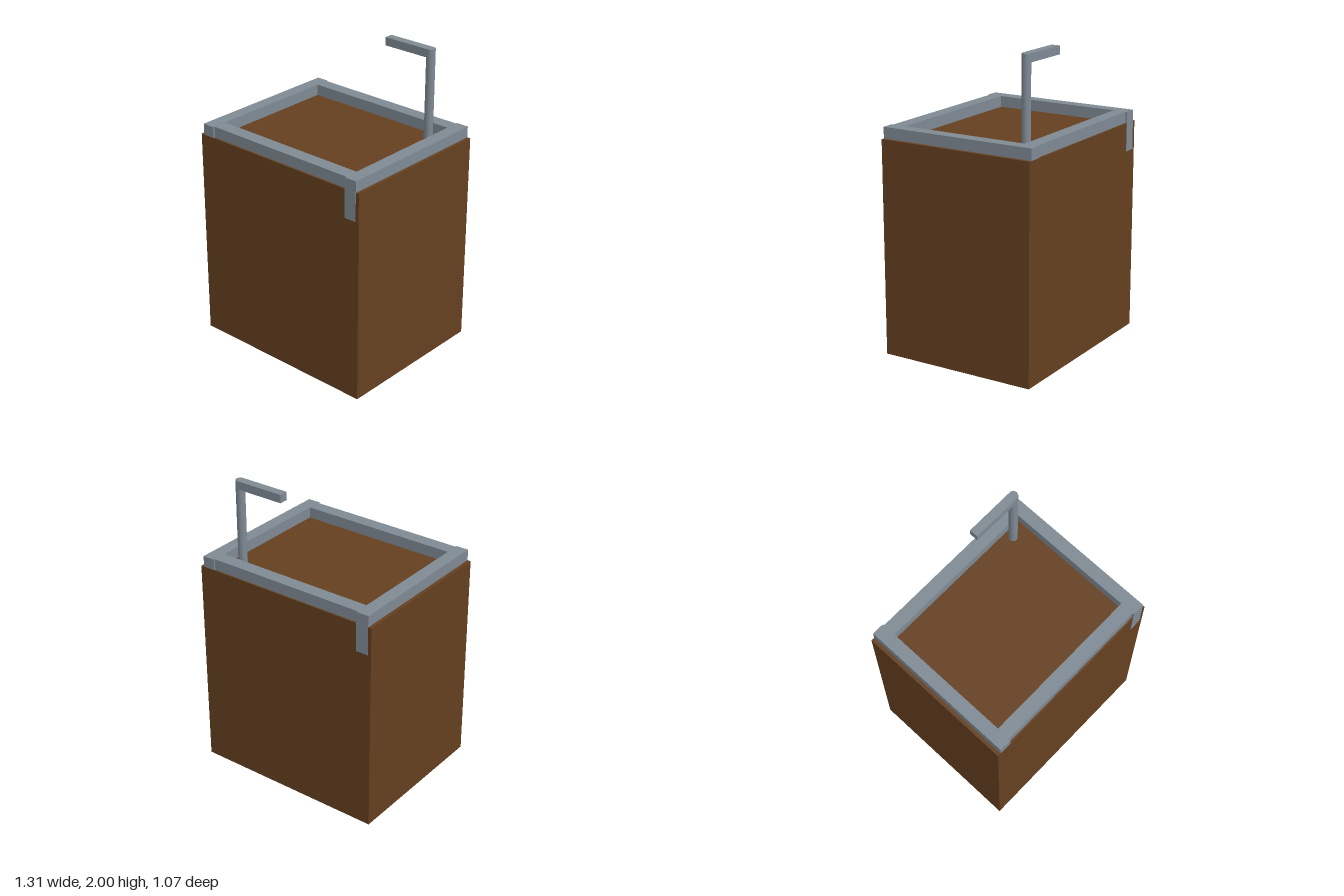
import * as THREE from 'three';

export function createModel() {
  const model = new THREE.Group();
  model.name = 'sinkCabinet';

  const wood = new THREE.MeshStandardMaterial({ color: 0x654020 });
  wood.name = 'brown wood';
  const metal = new THREE.MeshStandardMaterial({ color: 0x7f8a94 });
  metal.name = 'grey metal';

  // Adds a box given by its minimum and maximum corners
  function addBox(name, material, min, max, parent = model) {
    const size = max.map((v, i) => v - min[i]);
    const mesh = new THREE.Mesh(new THREE.BoxGeometry(...size), material);
    mesh.position.set(...max.map((v, i) => (v + min[i]) / 2));
    mesh.name = name;
    parent.add(mesh);
    return mesh;
  }

  const bodyTop = 1.413, rimTop = 1.487, halfDepth = 0.533;

  // Cabinet body
  addBox('cabinetBody', wood, [-0.655, 0, -halfDepth], [0.655, bodyTop, halfDepth]);

  // Raised rim: two full-depth side rails and two rails between them
  const rim = new THREE.Group();
  rim.name = 'rim';
  model.add(rim);
  for (const [side, s] of [['left', 1], ['right', -1]]) {
    const xs = [s * 0.547, s * 0.632].sort((a, b) => a - b);
    addBox(side + 'Rail', metal, [xs[0], bodyTop, -halfDepth], [xs[1], rimTop, halfDepth], rim);
    // Rail end reaching down over the cabinet face at opposite corners
    const zs = [s * (halfDepth - 0.004), s * (halfDepth + 0.001)].sort((a, b) => a - b);
    addBox(side + 'RailEnd', metal, [xs[0], 1.225, zs[0]], [xs[1], bodyTop, zs[1]], rim);
  }
  addBox('frontRail', metal, [-0.547, bodyTop, 0.43], [0.547, rimTop, 0.521], rim);
  addBox('backRail', metal, [-0.547, bodyTop, -0.523], [0.547, rimTop, -0.434], rim);

  // Tap: round post with a square spout
  const tap = new THREE.Group();
  tap.name = 'tap';
  model.add(tap);
  const post = new THREE.Mesh(new THREE.CylinderGeometry(0.029, 0.029, 2 - bodyTop, 16), metal);
  post.name = 'tapPost';
  post.position.set(0.442, (2 + bodyTop) / 2, -0.379);
  tap.add(post);
  addBox('tapSpout', metal, [0.105, 1.946, -0.408], [0.442, 2, -0.35], tap);

  return model;
}
